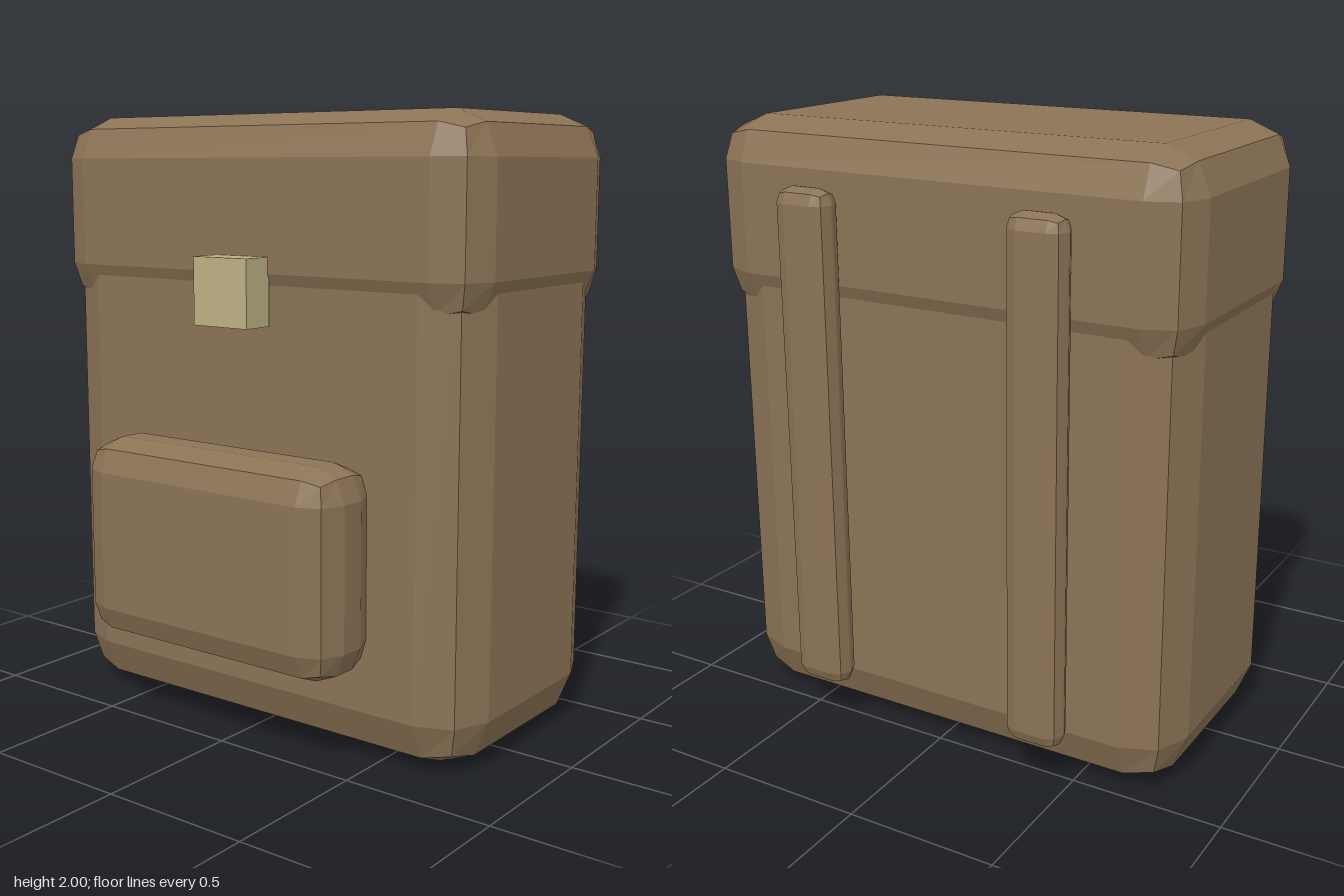
import * as THREE from 'three';
import { RoundedBoxGeometry } from 'three/addons/geometries/RoundedBoxGeometry.js';

export function createModel() {
  const model = new THREE.Group();
  model.name = 'backpack';

  const canvas = new THREE.MeshStandardMaterial({ color: 0x8b7355, flatShading: true });
  canvas.name = 'brown canvas';
  const brass = new THREE.MeshStandardMaterial({ color: 0xbdb083, flatShading: true });
  brass.name = 'pale brass';

  // Adds a box spanning [min, max] on each axis, with chamfered edges if a radius is given
  function addBox(name, material, [x0, x1], [y0, y1], [z0, z1], radius = 0) {
    const size = [x1 - x0, y1 - y0, z1 - z0];
    const geometry = radius > 0
      ? new RoundedBoxGeometry(...size, 1, radius)
      : new THREE.BoxGeometry(...size);
    const mesh = new THREE.Mesh(geometry, material);
    mesh.name = name;
    mesh.position.set((x0 + x1) / 2, (y0 + y1) / 2, (z0 + z1) / 2);
    model.add(mesh);
  }

  // Main bag, and the lid that overhangs it slightly
  addBox('body', canvas, [-0.817, 0.817], [0, 1.75], [-0.503, 0.368], 0.167);
  addBox('lid', canvas, [-0.832, 0.832], [1.37, 2], [-0.52, 0.383], 0.138);

  // Front pocket, sunk a little into the body
  addBox('frontPocket', canvas, [-0.503, 0.503], [0.298, 0.962], [0.33, 0.622], 0.104);

  // Lid clasp
  addBox('buckle', brass, [-0.107, 0.107], [1.345, 1.56], [0.376, 0.485]);

  // Shoulder straps on the back
  addBox('leftStrap', canvas, [0.307, 0.501], [0.152, 1.816], [-0.622, -0.518], 0.048);
  addBox('rightStrap', canvas, [-0.501, -0.307], [0.152, 1.816], [-0.622, -0.518], 0.048);

  return model;
}
